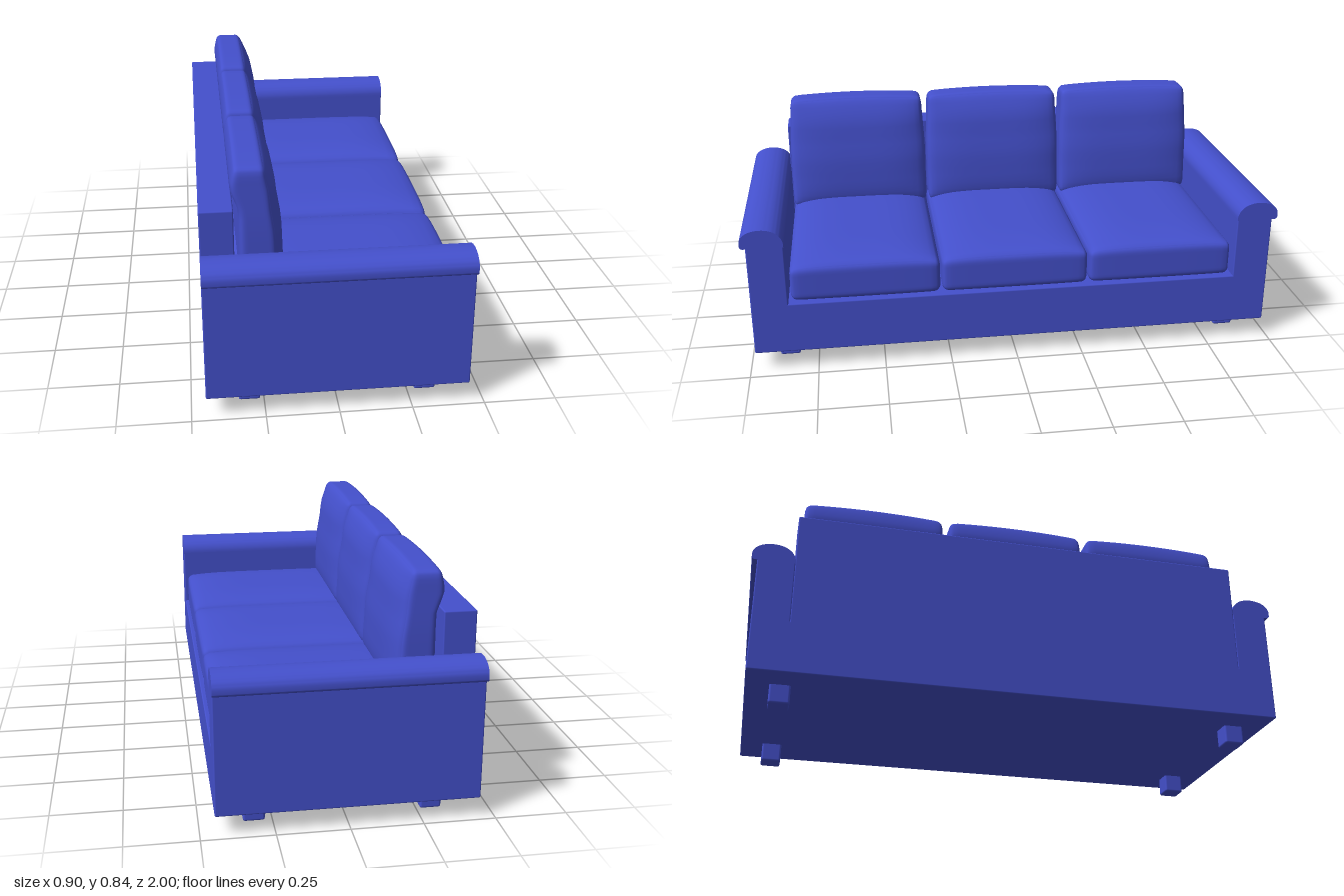
import * as THREE from 'three';
import { mergeVertices, toCreasedNormals } from 'three/addons/utils/BufferGeometryUtils.js';
import { RoundedBoxGeometry } from 'three/addons/geometries/RoundedBoxGeometry.js';

const fabric = new THREE.MeshStandardMaterial({ color: 0x4450cc });

function addMesh(parent, name, geometry, x = 0, y = 0, z = 0) {
  const mesh = new THREE.Mesh(geometry, fabric);
  mesh.name = name;
  mesh.position.set(x, y, z);
  parent.add(mesh);
  return mesh;
}

// Box given by its limits, with slightly eased edges
function addBlock(parent, name, [x0, x1], [y0, y1], [z0, z1], r = 0.005) {
  const g = new RoundedBoxGeometry(x1 - x0, y1 - y0, z1 - z0, 2, r);
  return addMesh(parent, name, g, (x0 + x1) / 2, (y0 + y1) / 2, (z0 + z1) / 2);
}

// Soft box: rounded edges, then a puffing rule taking (point, unit coordinates)
function cushionGeometry(size, r, puff) {
  let g = new THREE.BoxGeometry(2, 2, 2, 18, 18, 18);
  g.deleteAttribute('uv');
  g.deleteAttribute('normal');
  g = mergeVertices(g);
  const half = size.clone().multiplyScalar(0.5);
  const inner = half.clone().subScalar(r);
  const pos = g.attributes.position;
  const t = new THREE.Vector3(), p = new THREE.Vector3(), q = new THREE.Vector3();
  for (let i = 0; i < pos.count; i++) {
    t.fromBufferAttribute(pos, i);
    // crowd the grid towards the edges
    t.set(...t.toArray().map((v) => Math.sin(v * Math.PI / 2)));
    p.copy(t).multiply(half);
    q.copy(p).clamp(inner.clone().negate(), inner);
    p.sub(q).setLength(r).add(q);
    puff(p, t);
    pos.setXYZ(i, p.x, p.y, p.z);
  }
  g.computeVertexNormals();
  return g;
}

const dome = (a, b) => (1 - a ** 4) * (1 - b ** 4);

// Piecewise-linear lookup through [y, x] pairs, eased between them
function profile(points, y) {
  let x = points[0][1];
  for (let i = 1; i < points.length; i++) {
    const [y0] = points[i - 1], [y1, x1] = points[i];
    x = THREE.MathUtils.lerp(x, x1, THREE.MathUtils.smoothstep(y, y0, y1));
  }
  return x;
}

// Rolled cap of an armrest, swept along the depth of the sofa
function armCapGeometry(side) {
  const s = new THREE.Shape();
  s.moveTo(side * 0.845, 0.495);
  s.lineTo(side * 0.845, 0.508);
  s.bezierCurveTo(side * 0.85, 0.545, side * 0.885, 0.565, side * 0.925, 0.565);
  s.bezierCurveTo(side * 0.965, 0.565, side * 0.997, 0.548, side * 1.0, 0.52);
  s.lineTo(side * 1.0, 0.505);
  s.quadraticCurveTo(side * 0.999, 0.496, side * 0.988, 0.495);
  s.closePath();
  const g = new THREE.ExtrudeGeometry(s, { depth: 0.9, bevelEnabled: false, curveSegments: 14 });
  g.translate(0, 0, -0.45);
  g.rotateY(-Math.PI / 2);
  return toCreasedNormals(g, 0.6);
}

export function createModel() {
  const sofa = new THREE.Group();
  sofa.name = 'sofa';

  // Frame
  addBlock(sofa, 'base', [-0.45, 0.45], [0.07, 0.265], [-0.98, 0.98]);
  addBlock(sofa, 'backrest', [-0.45, -0.336], [0.25, 0.695], [-0.847, 0.847]);

  // Armrests and legs
  for (const side of [-1, 1]) {
    const span = (a, b) => (side > 0 ? [a, b] : [-b, -a]);
    const arm = new THREE.Group();
    arm.name = 'armrest';
    addBlock(arm, 'armPanel', [-0.45, 0.45], [0.07, 0.505], span(0.845, 0.98));
    addMesh(arm, 'armCap', armCapGeometry(side));
    sofa.add(arm);
    addBlock(sofa, 'rearLeg', [-0.337, -0.263], [0, 0.08], span(0.82, 0.895), 0.008);
    addBlock(sofa, 'frontLeg', [0.275, 0.35], [0, 0.08], span(0.82, 0.895), 0.008);
  }

  // Seat cushions: crowned on top
  const seat = cushionGeometry(new THREE.Vector3(0.776, 0.132, 0.552), 0.025, (p, t) => {
    const lift = THREE.MathUtils.smoothstep(t.y, -0.6, 1);
    p.y += 0.036 * lift * (1 - t.z ** 4) * (1 - 0.75 * Math.abs(t.x) ** 5);
    p.x *= 1 - 0.008 * t.z ** 4;
  });

  // Back cushions: lean back, narrow to the top, puffed in front
  const rear = [[0.39, -0.318], [0.67, -0.318], [0.76, -0.345], [0.83, -0.335]];
  const front = [[0.39, -0.18], [0.565, -0.192], [0.72, -0.21], [0.83, -0.228]];
  const back = cushionGeometry(new THREE.Vector3(0.15, 0.44, 0.55), 0.026, (p, t) => {
    const y = p.y + 0.61;
    const a = profile(rear, y), b = profile(front, y);
    p.x = THREE.MathUtils.lerp(a, b, p.x / 0.15 + 0.5);
    p.x += 0.027 * Math.max(0, t.x) * dome(t.y, t.z);
    p.z *= 1 - 0.035 * THREE.MathUtils.smoothstep(y, 0.6, 0.84);
    if (t.y > 0) p.y += 0.01 * t.y ** 4 * (1 - t.z ** 2);
  });

  for (const z of [-0.559, 0, 0.559]) {
    addMesh(sofa, 'seatCushion', seat, 0.05, 0.331, z);
    addMesh(sofa, 'backCushion', back, 0, 0.61, z);
  }
  return sofa;
}
